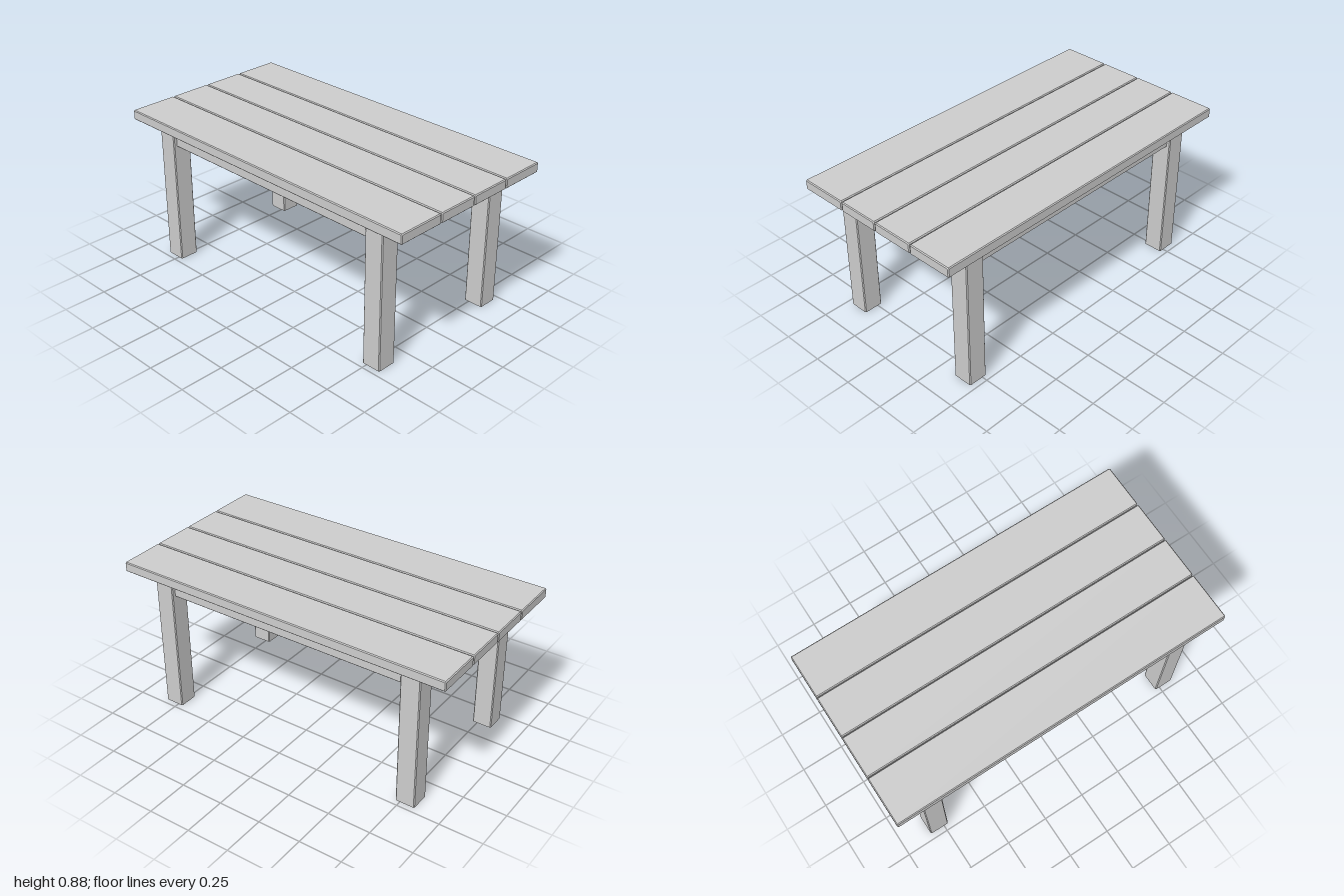
import * as THREE from 'three';

const material = new THREE.MeshStandardMaterial({ color: 0xcccccc });
const CHAMFER = 0.005;

// Board of w (x) by h (y) by d (z) with chamfered long edges, and optionally chamfered ends.
// It is extruded along z.
function boardGeometry(w, h, d, chamferEnds = true) {
  const c = CHAMFER, x = w / 2, y = h / 2;
  const shape = new THREE.Shape([
    [x, -y + c], [x, y - c], [x - c, y], [-x + c, y],
    [-x, y - c], [-x, -y + c], [-x + c, -y], [x - c, -y],
  ].map(([px, py]) => new THREE.Vector2(px, py)));
  const geometry = new THREE.ExtrudeGeometry(shape, {
    depth: chamferEnds ? d - 2 * c : d,
    bevelEnabled: chamferEnds,
    bevelThickness: c,
    bevelSize: c,
    bevelOffset: -c,
    bevelSegments: 1,
  });
  geometry.center();
  return geometry;
}

function addMesh(group, name, geometry, x, y, z) {
  const mesh = new THREE.Mesh(geometry, material);
  mesh.name = name;
  mesh.position.set(x, y, z);
  group.add(mesh);
}

export function createModel() {
  const table = new THREE.Group();
  table.name = 'table';

  // Table top: four planks, the outer two a little wider
  const topY = 0.877, legHeight = 0.82, thickness = topY - legHeight;
  const planks = [[-0.524, -0.26], [-0.256, -0.01], [-0.006, 0.239], [0.243, 0.524]];
  planks.forEach(([z0, z1], i) => {
    const plank = boardGeometry(z1 - z0, thickness, 2).rotateY(Math.PI / 2);
    addMesh(table, `plank${i + 1}`, plank, 0, legHeight + thickness / 2, (z0 + z1) / 2);
  });

  // Legs: square posts with chamfered upright edges
  const legSize = 0.113, legX = 0.779, legZ = 0.411;
  const leg = boardGeometry(legSize, legSize, legHeight, false).rotateX(Math.PI / 2);
  for (const sx of [-1, 1]) {
    for (const sz of [-1, 1]) {
      const name = `${sz > 0 ? 'front' : 'back'}${sx > 0 ? 'Left' : 'Right'}Leg`;
      addMesh(table, name, leg, sx * legX, legHeight / 2, sz * legZ);
    }
  }

  // Aprons: thin rails between the legs, set slightly in from their outer faces
  const railHeight = 0.097, railDepth = 0.026, railY = 0.767;
  const inset = legSize / 2 - 0.017 - railDepth / 2;
  const longRail = boardGeometry(railDepth, railHeight, 2 * legX - legSize).rotateY(Math.PI / 2);
  const shortRail = boardGeometry(railDepth, railHeight, 2 * legZ - legSize);
  for (const s of [-1, 1]) {
    addMesh(table, s > 0 ? 'frontApron' : 'backApron', longRail, 0, railY, s * (legZ + inset));
    addMesh(table, s > 0 ? 'leftApron' : 'rightApron', shortRail, s * (legX + inset), railY, 0);
  }

  return table;
}
